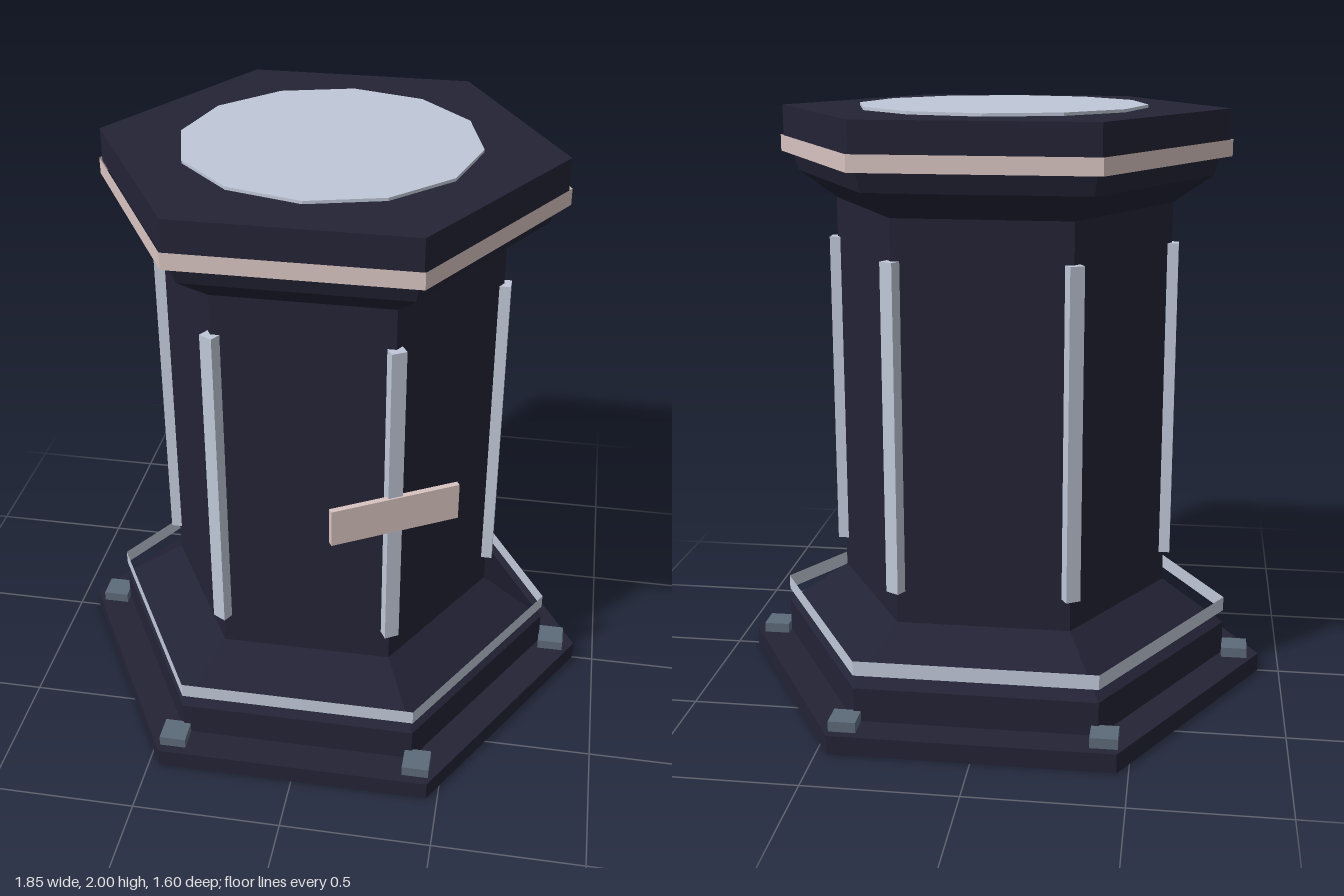
import * as THREE from 'three';

const flat = (name, color, extra = {}) => {
  const m = new THREE.MeshStandardMaterial({ color, flatShading: true, ...extra });
  m.name = name;
  return m;
};

export function createModel() {
  const group = new THREE.Group();
  group.name = 'hexagonalPedestal';

  const navy = flat('dark navy', 0x232336);
  const silver = flat('silver', 0xc0c8d8, { side: THREE.DoubleSide });
  const rose = flat('pale rose', 0xd8c4c0, { side: THREE.DoubleSide });
  const slate = flat('slate', 0x5c6a7a);

  const add = (name, geometry, material, x = 0, y = 0, z = 0, turn = 0) => {
    const mesh = new THREE.Mesh(geometry, material);
    mesh.name = name;
    mesh.position.set(x, y, z);
    mesh.rotation.y = turn;
    group.add(mesh);
    return mesh;
  };

  // Hexagonal section with corners on the x axis
  const hex = (name, rBottom, rTop, y0, y1, material = navy, open = false) =>
    add(name, new THREE.CylinderGeometry(rTop, rBottom, y1 - y0, 6, 1, open, Math.PI / 2),
      material, 0, (y0 + y1) / 2, 0);

  // Stacked body
  hex('base', 0.925, 0.925, 0, 0.065);
  hex('plinth', 0.795, 0.795, 0.065, 0.18);
  hex('plinthSlope', 0.795, 0.575, 0.18, 0.335);
  hex('shaft', 0.575, 0.575, 0.335, 1.68);
  hex('capitalFlare', 0.575, 0.705, 1.68, 1.77);
  hex('capitalNeck', 0.705, 0.74, 1.77, 1.88);
  hex('cap', 0.755, 0.755, 1.88, 1.99);

  // Open trim bands
  hex('lowerBand', 0.795, 0.795, 0.225, 0.275, silver, true);
  hex('upperBand', 0.765, 0.765, 1.835, 1.89, rose, true);

  // Twelve-sided top plate
  add('topDisc', new THREE.CylinderGeometry(0.485, 0.485, 0.01, 12), silver, 0, 1.995, 0);

  // Corner strips on the shaft and blocks on the base
  const strip = new THREE.BoxGeometry(0.05, 1.1, 0.04);
  const block = new THREE.BoxGeometry(0.09, 0.035, 0.09);
  for (let i = 0; i < 6; i++) {
    const a = Math.PI / 2 + (i * Math.PI) / 3;
    const s = Math.sin(a), c = Math.cos(a);
    add('cornerStrip', strip, silver, s * 0.578, 0.995, c * 0.578, a);
    add('baseBlock', block, slate, s * 0.838, 0.0825, c * 0.838);
  }

  // Plate across the front left corner strip
  const a = Math.PI / 6;
  add('cornerPlate', new THREE.BoxGeometry(0.44, 0.13, 0.02), rose,
    Math.sin(a) * 0.594, 0.955, Math.cos(a) * 0.594, a);

  return group;
}
